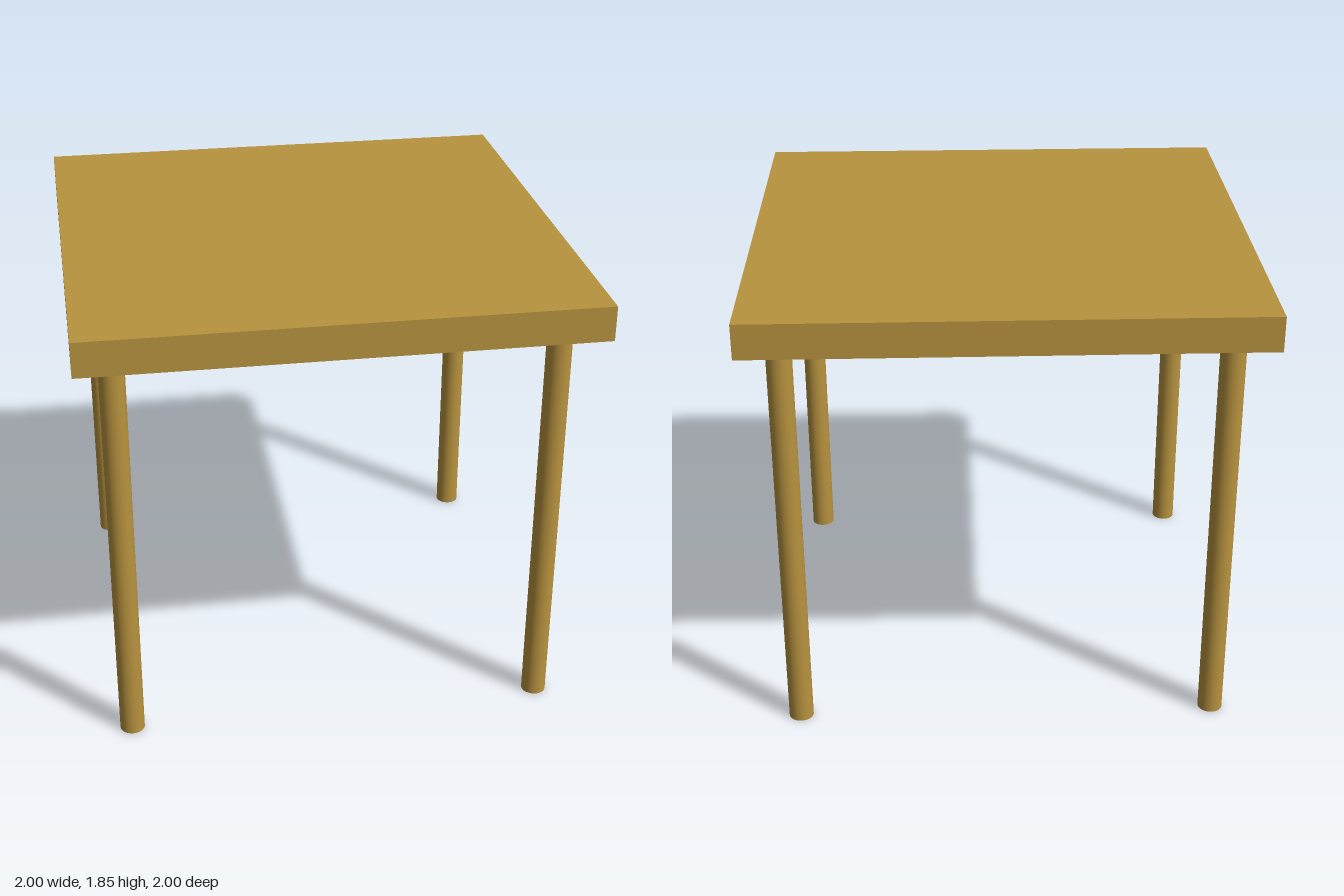
import * as THREE from 'three';

export function createModel() {
  const model = new THREE.Group();
  model.name = 'table';
  const wood = new THREE.MeshStandardMaterial({ color: 0xb8933f });

  const topY = 1.85, thickness = 0.14, legHeight = topY - thickness;

  // Square slab top
  const top = new THREE.Mesh(new THREE.BoxGeometry(2, thickness, 2), wood);
  top.name = 'tableTop';
  top.position.y = topY - thickness / 2;
  model.add(top);

  // Four round legs, set in a little further at front and back than at the sides
  const legGeometry = new THREE.CylinderGeometry(0.05, 0.05, legHeight, 32);
  for (const [side, x] of [['Left', 0.853], ['Right', -0.853]]) {
    for (const [end, z] of [['front', 0.803], ['back', -0.803]]) {
      const leg = new THREE.Mesh(legGeometry, wood);
      leg.name = `${end}${side}Leg`;
      leg.position.set(x, legHeight / 2, z);
      model.add(leg);
    }
  }
  return model;
}
